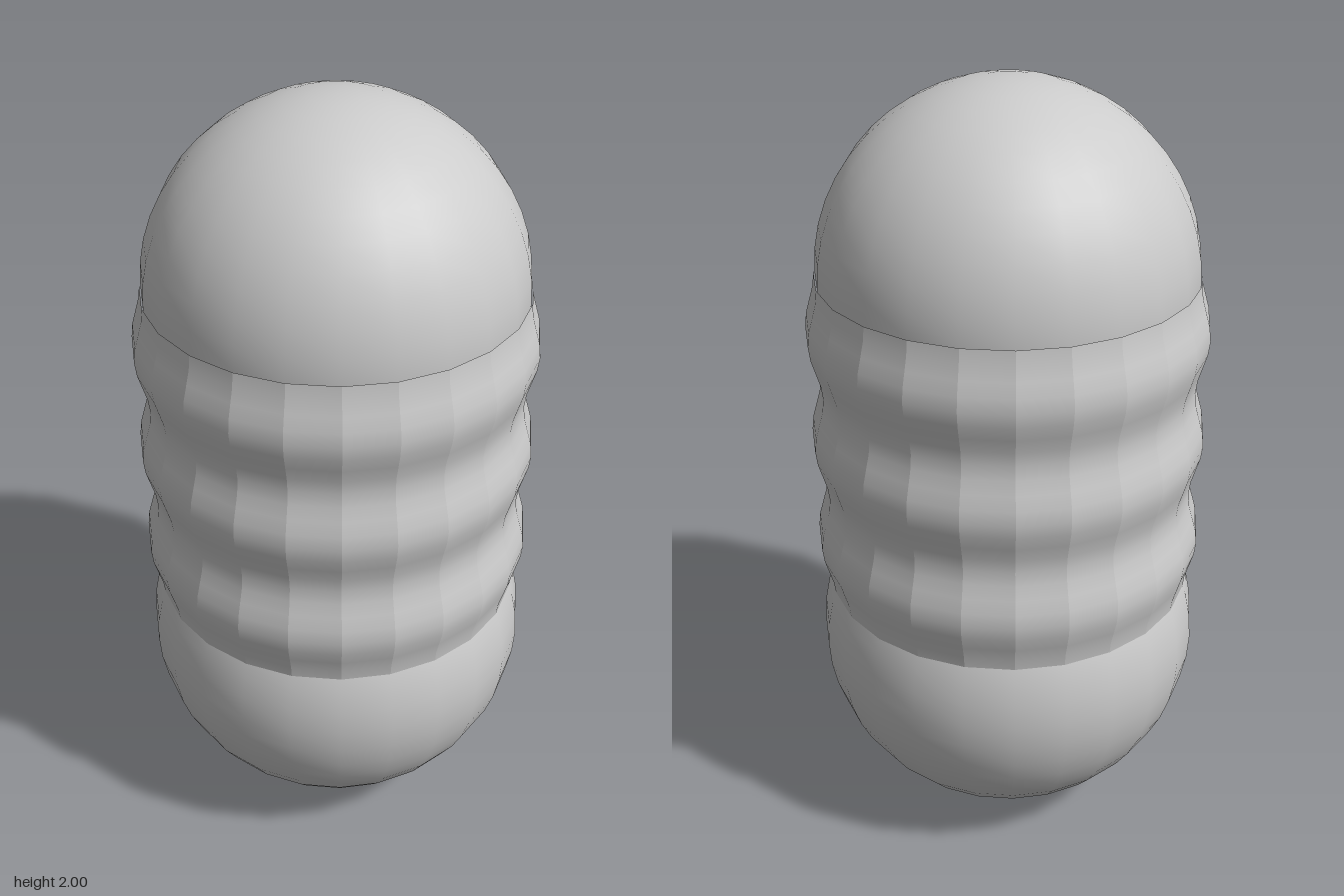
import * as THREE from 'three';

const SIDES = 24;

// Keeps a lathe smooth along its profile but flat-sided around the axis.
function flattenSides(lathe) {
  const geometry = lathe.toNonIndexed();
  const p = geometry.attributes.position;
  const n = geometry.attributes.normal;
  for (let i = 0; i < p.count; i += 3) {
    let sx = 0, sz = 0;
    for (let k = i; k < i + 3; k++) {
      sx += p.getX(k);
      sz += p.getZ(k);
    }
    const step = (Math.PI * 2) / SIDES;
    const angle = (Math.floor(Math.atan2(sz, sx) / step) + 0.5) * step;
    for (let k = i; k < i + 3; k++) {
      const radial = Math.hypot(n.getX(k), n.getZ(k));
      n.setXYZ(k, radial * Math.cos(angle), n.getY(k), radial * Math.sin(angle));
    }
  }
  return geometry;
}

export function createModel() {
  const group = new THREE.Group();
  group.name = 'ribbedCapsule';
  const material = new THREE.MeshStandardMaterial({ color: 0xcccccc });

  const add = (name, geometry, y = 0) => {
    const mesh = new THREE.Mesh(geometry, material);
    mesh.name = name;
    mesh.position.y = y;
    group.add(mesh);
  };

  // Rounded ends
  add('lowerDome', new THREE.SphereGeometry(0.505, SIDES, SIDES), 0.505);
  add('upperDome', new THREE.SphereGeometry(0.473, SIDES, SIDES), 1.527);

  // Sleeve with three swelling ribs between the domes
  const ribs = 3, perRib = 8, bottom = 0.662, pitch = 0.2885;
  const profile = [];
  for (let i = 0; i <= ribs * perRib; i++) {
    const t = i / perRib;
    const radius = 0.4905 - 0.0145 * Math.cos(t * Math.PI * 2);
    profile.push(new THREE.Vector2(radius, bottom + t * pitch));
  }
  const sleeve = flattenSides(new THREE.LatheGeometry(profile, SIDES));
  add('ribbedSleeve', sleeve);

  return group;
}
